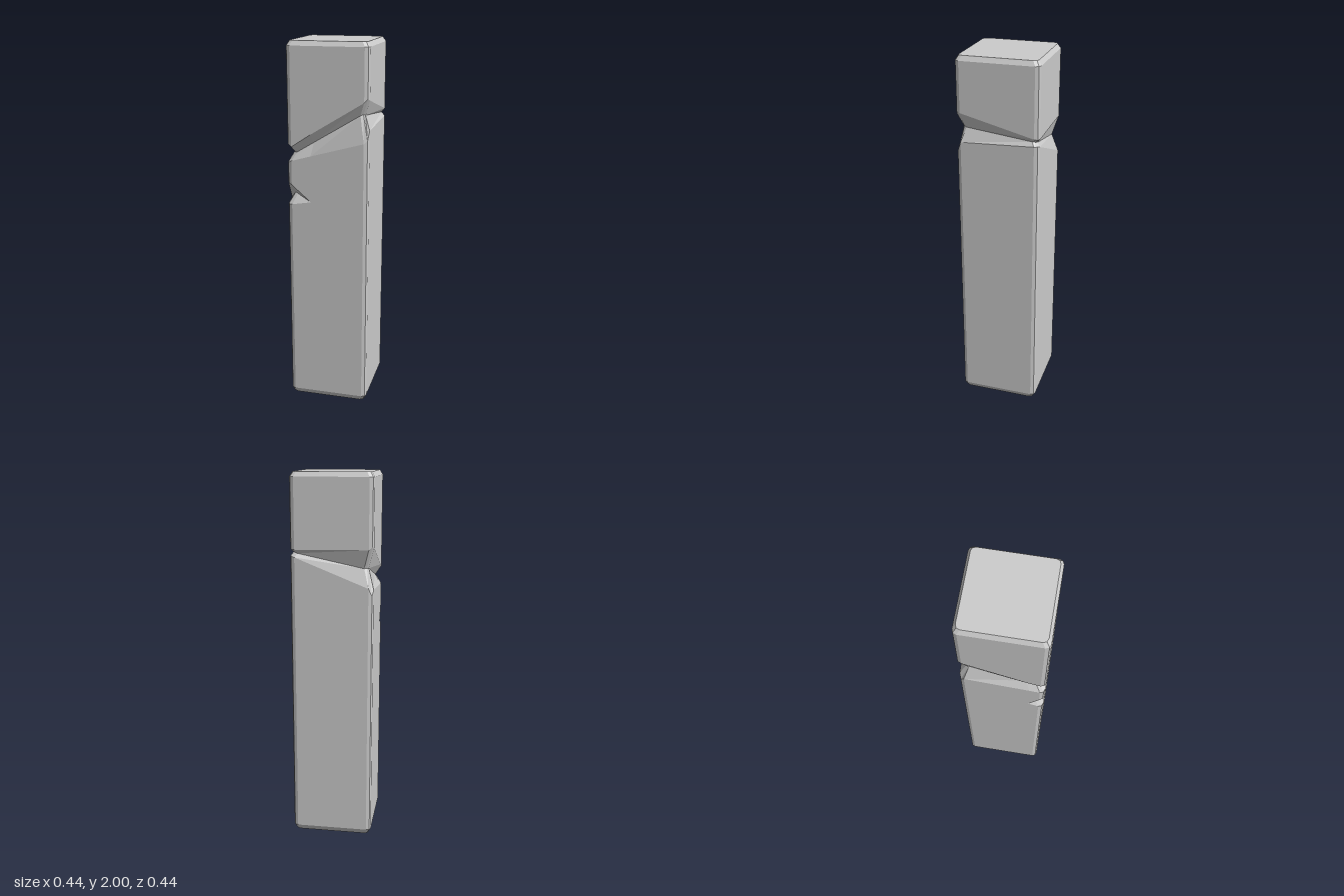
import * as THREE from 'three';

// Upright columns around the pillar, counter-clockwise from above:
// x, z, groove low / valley / high, groove depth, notch strength
const COLUMNS = [
  // front left corner
  [0.195, 0.22, 1.49, 1.63, 1.70, 0.028, 0],
  [0.213, 0.213, 1.505, 1.635, 1.72, 0.03, 0],
  [0.22, 0.195, 1.555, 1.63, 1.71, 0.028, 0],
  // back left corner
  [0.22, -0.195, 1.57, 1.592, 1.61, 0.015, 0],
  [0.213, -0.213, 1.57, 1.588, 1.605, 0.018, 0],
  [0.195, -0.22, 1.565, 1.585, 1.605, 0.015, 0],
  // back right corner
  [-0.195, -0.22, 1.41, 1.51, 1.61, 0.03, 0],
  [-0.213, -0.213, 1.37, 1.51, 1.625, 0.032, 0],
  [-0.22, -0.195, 1.40, 1.51, 1.62, 0.03, 0],
  // end of the notch on the right face
  [-0.22, 0.14, 1.375, 1.435, 1.485, 0.03, 0],
  // front right corner
  [-0.22, 0.195, 1.37, 1.425, 1.47, 0.03, 0.9],
  [-0.213, 0.213, 1.37, 1.42, 1.47, 0.032, 1],
  [-0.195, 0.22, 1.38, 1.425, 1.455, 0.03, 0.9],
  // end of the notch on the front face
  [-0.09, 0.22, 1.41, 1.48, 1.525, 0.03, 0],
];

// Points of one column from the base to the top
function columnPoints([x, z, low, valley, high, depth, notch]) {
  const at = (y, inset) => {
    const s = 1 - inset / 0.22;
    return new THREE.Vector3(x * s, y, z * s);
  };
  return [
    at(0, 0.015), at(0.03, 0),
    at(1.16 - 0.02 * notch, 0), at(1.16 + 0.04 * notch, 0.032 * notch), at(1.16 + 0.1 * notch, 0),
    at(low, 0), at(valley, depth), at(high, 0),
    at(1.975, 0), at(2, 0.015),
  ];
}

function pillarGeometry() {
  const cols = COLUMNS.map(columnPoints);
  const last = cols[0].length - 1;
  const bottom = new THREE.Vector3(0, 0, 0);
  const top = new THREE.Vector3(0, 2, 0);
  const out = [];
  const tri = (a, b, c) => {
    const area = b.clone().sub(a).cross(c.clone().sub(a)).length();
    if (area > 1e-7) out.push(...a.toArray(), ...b.toArray(), ...c.toArray());
  };
  cols.forEach((a, i) => {
    const b = cols[(i + 1) % cols.length];
    for (let j = 0; j < last; j++) {
      tri(a[j], b[j], b[j + 1]);
      tri(a[j], b[j + 1], a[j + 1]);
    }
    // end caps
    tri(b[0], a[0], bottom);
    tri(a[last], b[last], top);
  });
  const geometry = new THREE.BufferGeometry();
  geometry.setAttribute('position', new THREE.Float32BufferAttribute(out, 3));
  geometry.computeVertexNormals();
  return geometry;
}

export function createModel() {
  const group = new THREE.Group();
  group.name = 'brokenPillar';
  const material = new THREE.MeshStandardMaterial({ color: 0xcccccc, flatShading: true });
  const pillar = new THREE.Mesh(pillarGeometry(), material);
  pillar.name = 'crackedStonePillar';
  group.add(pillar);
  return group;
}
